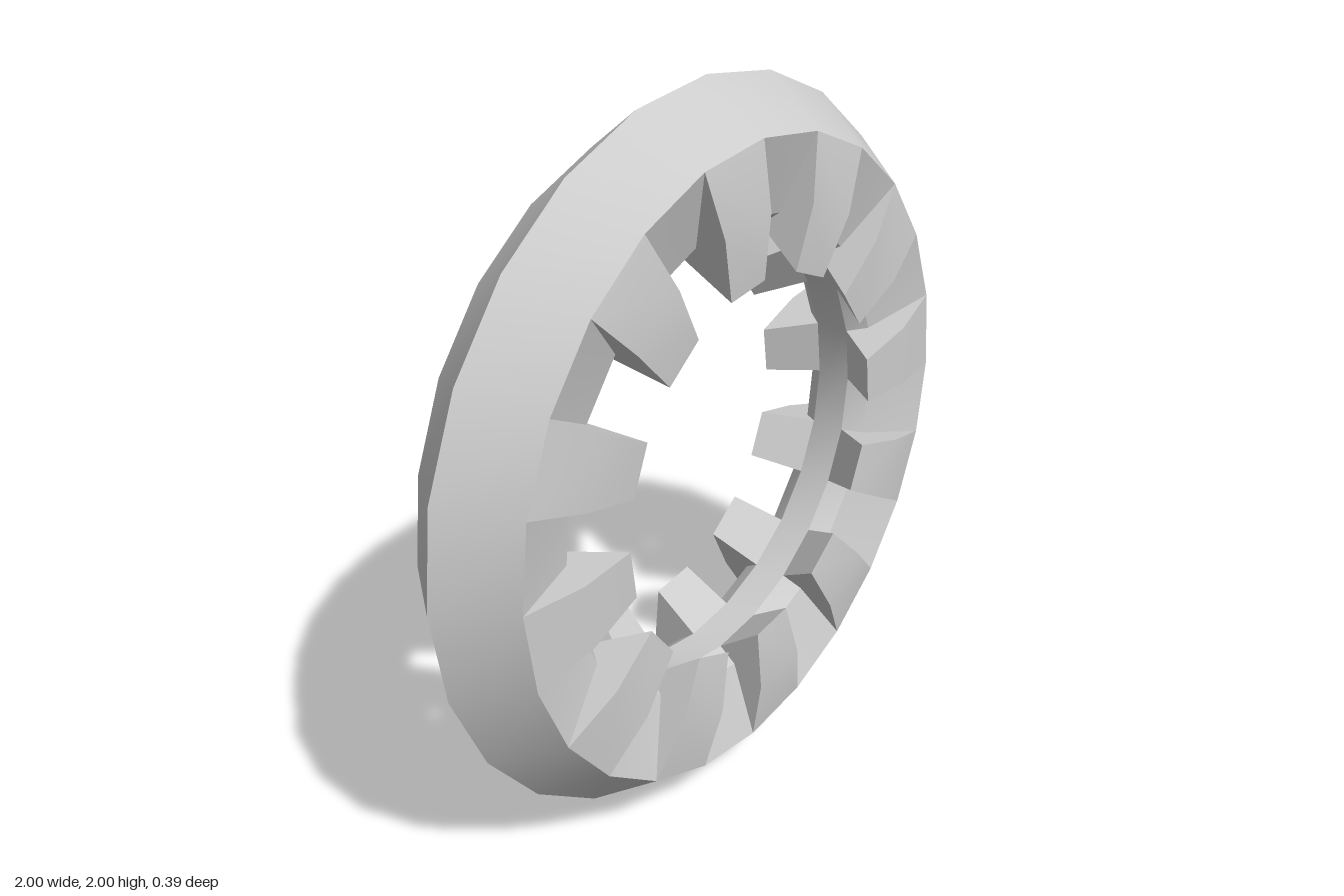
import * as THREE from 'three';
import { toCreasedNormals } from 'three/addons/utils/BufferGeometryUtils.js';

const SIDES = 24;
const HALF = Math.PI / SIDES;

// One tooth centred on +y: a wedge section (radius, depth) spanning one side of the ring
function toothGeometry() {
  const section = [[0.875, 0.17], [0.7, 0.195], [0.525, 0.18], [0.62, 0.05]];
  const n = section.length;
  const positions = [];
  for (const side of [-1, 1]) {
    for (const [r, z] of section) {
      positions.push(side * r * Math.sin(HALF), r * Math.cos(HALF), z);
    }
  }
  const index = [];
  for (let i = 0; i < n; i++) {
    const j = (i + 1) % n;
    index.push(i, j, n + j, i, n + j, n + i);
  }
  // flat ends
  for (let i = 1; i < n - 1; i++) {
    index.push(0, i + 1, i, n, n + i, n + i + 1);
  }
  const g = new THREE.BufferGeometry();
  g.setAttribute('position', new THREE.Float32BufferAttribute(positions, 3));
  g.setIndex(index);
  return toCreasedNormals(g, 0.4);
}

// Closed ring profile turned around the z axis
function ringGeometry() {
  const front = [[1, 0], [0.875, 0.17], [0.66, 0.1], [0.62, 0.05]];
  const back = front.slice(1).reverse().map(([r, z]) => [r, -z]);
  const profile = [...front, ...back, front[0]].map(([r, z]) => new THREE.Vector2(r, z));
  const g = new THREE.LatheGeometry(profile, SIDES);
  g.rotateX(Math.PI / 2);
  return toCreasedNormals(g, 0.4);
}

export function createModel() {
  const model = new THREE.Group();
  model.name = 'toothedRing';
  const material = new THREE.MeshStandardMaterial({ color: 0xcccccc });

  const wheel = new THREE.Group();
  wheel.name = 'wheel';
  wheel.position.y = 1;
  model.add(wheel);

  const ring = new THREE.Mesh(ringGeometry(), material);
  ring.name = 'ring';
  wheel.add(ring);

  // A front and a back tooth on every second side of the ring
  const geometry = toothGeometry();
  for (let k = 0; k < SIDES / 2; k++) {
    const pair = new THREE.Group();
    pair.name = 'toothPair';
    pair.rotation.z = HALF + k * 4 * HALF;
    for (const [name, turn] of [['frontTooth', 0], ['backTooth', Math.PI]]) {
      const tooth = new THREE.Mesh(geometry, material);
      tooth.name = name;
      tooth.rotation.y = turn;
      pair.add(tooth);
    }
    wheel.add(pair);
  }
  return model;
}
